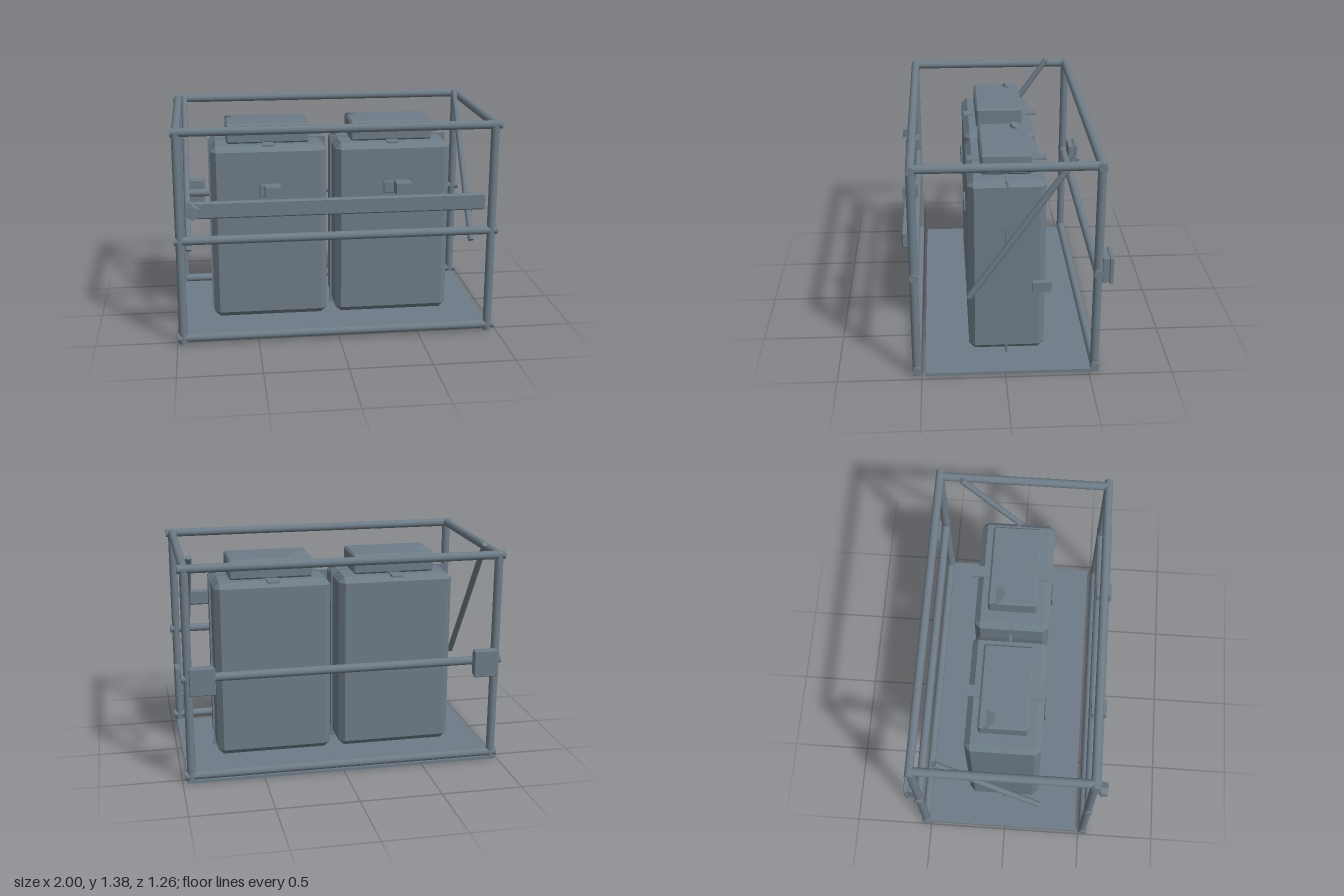
import * as THREE from 'three';
import { ConvexGeometry } from 'three/addons/geometries/ConvexGeometry.js';

export function createModel() {
  const model = new THREE.Group();
  model.name = 'framedTankRack';
  const slate = new THREE.MeshStandardMaterial({ color: 0x6e7c87 });
  slate.name = 'slate grey';

  const add = (name, geometry, parent = model) => {
    const mesh = new THREE.Mesh(geometry, slate);
    mesh.name = name;
    parent.add(mesh);
    return mesh;
  };

  // Box given by its limits on each axis, with optional chamfered edges
  const box = (name, [x0, x1], [y0, y1], [z0, z1], chamfer = 0, parent = model) => {
    const w = x1 - x0, h = y1 - y0, d = z1 - z0;
    let geometry;
    if (chamfer > 0) {
      const points = [];
      for (const sx of [-1, 1]) for (const sy of [-1, 1]) for (const sz of [-1, 1]) {
        for (let axis = 0; axis < 3; axis++) {
          const p = [w / 2 - chamfer, h / 2 - chamfer, d / 2 - chamfer];
          p[axis] += chamfer;
          points.push(new THREE.Vector3(sx * p[0], sy * p[1], sz * p[2]));
        }
      }
      geometry = new ConvexGeometry(points);
    } else {
      geometry = new THREE.BoxGeometry(w, h, d);
    }
    const mesh = add(name, geometry, parent);
    mesh.position.set((x0 + x1) / 2, (y0 + y1) / 2, (z0 + z1) / 2);
    return mesh;
  };

  // Round bar between two points
  const bar = (name, a, b, radius) => {
    const from = new THREE.Vector3(...a), to = new THREE.Vector3(...b);
    const direction = to.clone().sub(from);
    const mesh = add(name, new THREE.CylinderGeometry(radius, radius, direction.length(), 20));
    mesh.position.copy(from).add(to).multiplyScalar(0.5);
    mesh.quaternion.setFromUnitVectors(new THREE.Vector3(0, 1, 0), direction.normalize());
    return mesh;
  };

  // Tubular frame
  const front = 0.528, back = -0.535, radius = 0.026;
  const right = -0.962, left = 0.945;
  for (const z of [front, back]) {
    for (const x of [right, left]) bar('framePost', [x, 0.003, z], [x, 1.33, z], radius);
    for (const y of [0.042, 0.666, 1.33]) bar('crossRail', [-0.997, y, z], [0.984, y, z], radius);
  }
  for (const x of [right, left]) bar('topSideRail', [x, 1.33, front], [x, 1.33, back], radius);

  // Diagonal braces
  for (const x of [-0.919, 0.904]) bar('diagonalBrace', [x, 0.497, 0.212], [x, 1.367, -0.395], 0.019);

  // Floor plate
  box('floorPlate', [-0.984, 0.967], [0, 0.018], [-0.56, 0.479]);

  // Two tanks, each with seam, strap, top box, cap and front plate
  for (const x of [-0.401, 0.384]) {
    const tank = new THREE.Group();
    tank.name = 'tank';
    tank.position.x = x;
    model.add(tank);
    box('tankBody', [-0.365, 0.365], [0.031, 1.158], [-0.251, 0.209], 0.036, tank);
    box('tankSeam', [-0.376, 0.376], [0.02, 1.165], [-0.026, -0.012], 0, tank);
    box('topStrap', [-0.036, 0.036], [1.154, 1.165], [-0.28, 0.204], 0, tank);
    box('topBox', [-0.262, 0.262], [1.157, 1.284], [-0.172, 0.128], 0.012, tank);
    const cap = add('tiltedCap', new THREE.CylinderGeometry(0.057, 0.057, 0.045, 24), tank);
    cap.rotation.x = -0.39;
    cap.position.set(-0.205, 1.261, -0.121);
    box('frontPlate', [-0.062, 0.062], [0.836, 0.916], [0.216, 0.228], 0.004, tank);
    box('frontBlock', [-0.047, 0.047], [0.928, 0.998], [0.503, 0.596], 0, tank);
  }

  // Front beam with its hexagonal knob
  box('frontBeam', [-0.905, 0.886], [0.817, 0.918], [0.553, 0.59], 0.008);
  const knob = add('beamKnob', new THREE.CylinderGeometry(0.044, 0.047, 0.044, 6).toNonIndexed());
  knob.geometry.computeVertexNormals();
  knob.rotation.x = Math.PI / 2;
  knob.position.set(-0.88, 0.866, 0.609);

  // Rear boxes with covers
  for (const x of [-0.88, 0.865]) {
    box('rearBox', [x - 0.072, x + 0.072], [0.587, 0.748], [-0.596, -0.561], 0.005);
    box('rearBoxGasket', [x - 0.066, x + 0.066], [0.593, 0.742], [-0.606, -0.594]);
    box('rearBoxCover', [x - 0.077, x + 0.077], [0.583, 0.751], [-0.628, -0.603], 0.004);
  }

  // Small block on the left side
  box('sideBlock', [0.968, 1.0], [0.57, 0.634], [-0.262, -0.151]);

  return model;
}
